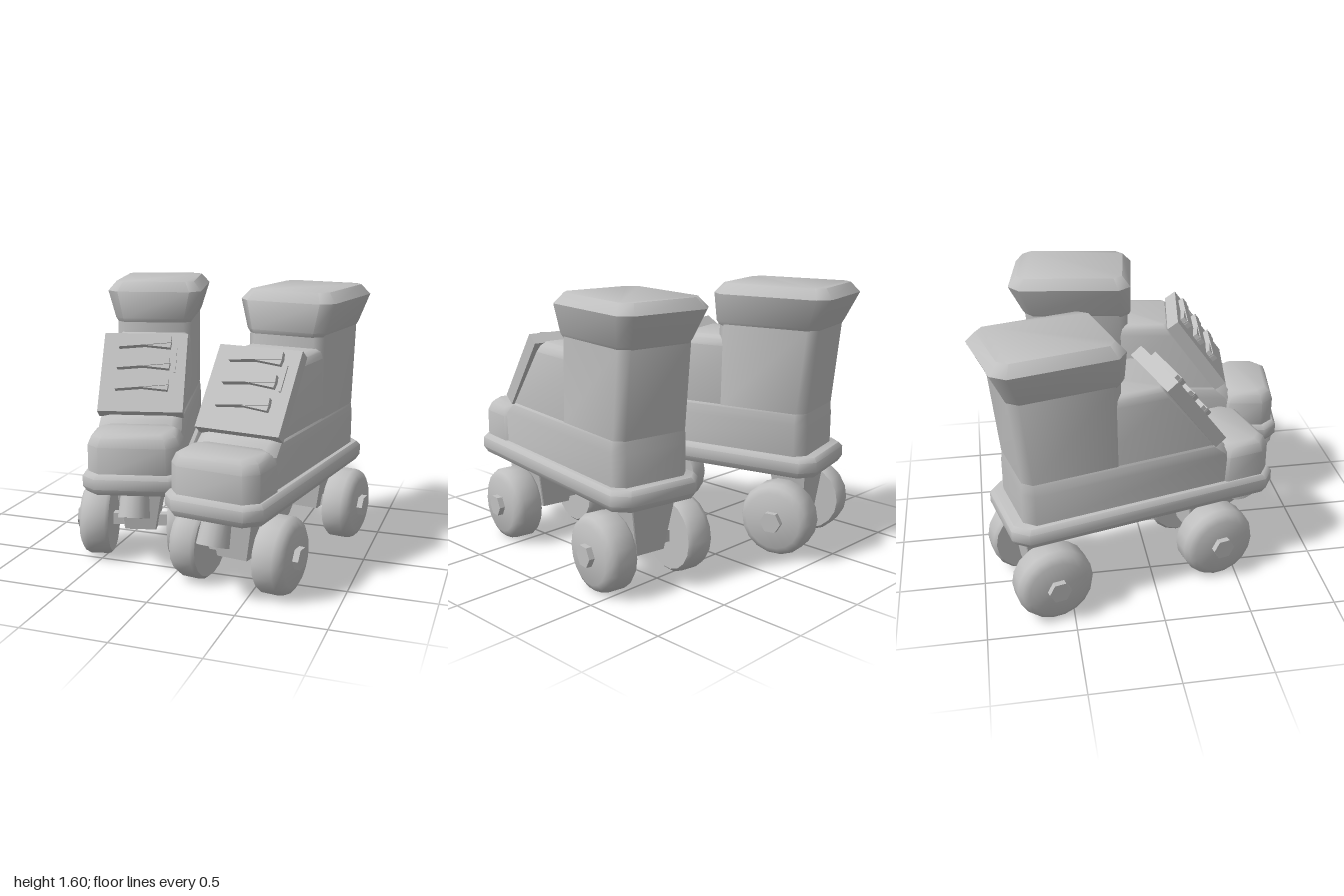
import * as THREE from 'three';
import { toCreasedNormals } from 'three/addons/utils/BufferGeometryUtils.js';

const grey = new THREE.MeshStandardMaterial({ color: 0xc0c0c0 });
grey.name = 'plain grey';

function add(parent, name, geometry, x = 0, y = 0, z = 0) {
  const mesh = new THREE.Mesh(geometry, grey);
  mesh.name = name;
  mesh.position.set(x, y, z);
  parent.add(mesh);
  return mesh;
}

// Stack of rectangles with cut corners: [y, halfWidth, back z, front z, cornerCut]
function loft(sections, crease = 0.85) {
  const pos = [], idx = [], n = 8;
  for (const [y, w, b, f, c] of sections) {
    const ring = [[w, b + c], [w, f - c], [w - c, f], [c - w, f],
      [-w, f - c], [-w, b + c], [c - w, b], [w - c, b]];
    for (const [x, z] of ring) pos.push(x, y, z);
  }
  const last = (sections.length - 1) * n;
  for (let s = 0; s < last; s += n) {
    for (let i = 0; i < n; i++) {
      const a = s + i, d = s + (i + 1) % n;
      idx.push(a, a + n, d, d, a + n, d + n);
    }
  }
  for (let i = 1; i < n - 1; i++) {
    idx.push(0, i, i + 1, last, last + i + 1, last + i);
  }
  const g = new THREE.BufferGeometry();
  g.setAttribute('position', new THREE.Float32BufferAttribute(pos, 3));
  g.setIndex(idx);
  return toCreasedNormals(g, crease);
}

function createWheels(skate, z) {
  const axleY = 0.2225;
  // Tapered block holding the axle
  add(skate, 'truck', loft([[0.18, 0.095, -0.085, 0.085, 0.005], [0.5, 0.15, -0.12, 0.12, 0.005]], 0.3), 0, 0, z);
  add(skate, 'axle', new THREE.BoxGeometry(0.66, 0.07, 0.06), 0, axleY, z);
  const profile = [[0, -0.09], [0.205, -0.09], [0.2225, -0.07], [0.2225, 0.035], [0.205, 0.07], [0.17, 0.09], [0, 0.09]]
    .map(([r, y]) => new THREE.Vector2(r, y));
  const wheelGeometry = toCreasedNormals(new THREE.LatheGeometry(profile, 18), 0.8);
  const nutGeometry = toCreasedNormals(new THREE.CylinderGeometry(0.065, 0.065, 0.06, 6), 0.3);
  for (const side of [-1, 1]) {
    add(skate, 'wheel', wheelGeometry, side * 0.265, axleY, z).rotation.z = -side * Math.PI / 2;
    add(skate, 'wheelNut', nutGeometry, side * 0.36, axleY, z).rotation.z = -side * Math.PI / 2;
  }
}

function createLacePanel(skate) {
  // Sloping panel; its local +z points out of the instep
  const panel = new THREE.Group();
  panel.name = 'lacePanel';
  panel.position.set(0, 1.11, 0.315);
  panel.rotation.x = -0.637;
  skate.add(panel);
  add(panel, 'tonguePlate', new THREE.BoxGeometry(0.51, 0.52, 0.08), 0, 0, -0.04);
  for (let i = 0; i < 3; i++) {
    for (const tilt of [-0.1, 0.1]) {
      add(panel, 'lace', new THREE.BoxGeometry(0.32, 0.045, 0.04), 0, 0.19 - i * 0.14, 0.012 + tilt * 0.03)
        .rotation.z = tilt;
    }
  }
  // Small tab beside the laces
  add(panel, 'laceTab', new THREE.BoxGeometry(0.012, 0.16, 0.02), 0.19, 0.08, 0);
}

function createSkate(name, x, z, degrees) {
  const skate = new THREE.Group();
  skate.name = name;
  skate.position.set(x, 0, z);
  skate.rotation.y = THREE.MathUtils.degToRad(degrees);

  add(skate, 'sole', loft([
    [0.485, 0.275, -0.79, 0.79, 0.075], [0.52, 0.295, -0.81, 0.81, 0.08],
    [0.58, 0.295, -0.81, 0.81, 0.08], [0.605, 0.275, -0.79, 0.79, 0.075]]));
  add(skate, 'lowerBoot', loft([
    [0.59, 0.25, -0.735, 0.6, 0.06], [0.79, 0.25, -0.735, 0.535, 0.06],
    [0.85, 0.245, -0.73, 0.46, 0.055], [0.875, 0.235, -0.73, 0.42, 0.05]]));
  add(skate, 'toeCap', loft([
    [0.59, 0.265, 0.42, 0.78, 0.07], [0.76, 0.265, 0.43, 0.78, 0.07],
    [0.81, 0.245, 0.455, 0.76, 0.065], [0.83, 0.215, 0.48, 0.73, 0.055]]));
  add(skate, 'instep', loft([
    [0.84, 0.24, -0.4, 0.43, 0.02], [1.22, 0.235, -0.4, 0.135, 0.02],
    [1.26, 0.225, -0.4, 0.105, 0.02], [1.28, 0.2, -0.4, 0.09, 0.02]]));
  add(skate, 'ankleShaft', loft([
    [0.86, 0.242, -0.73, -0.14, 0.05], [1.36, 0.24, -0.78, -0.15, 0.05]]));
  // Flared collar, straight at the front
  add(skate, 'cuff', loft([
    [1.345, 0.235, -0.775, -0.14, 0.05], [1.37, 0.25, -0.79, -0.13, 0.055],
    [1.54, 0.3, -0.87, -0.13, 0.07], [1.6, 0.25, -0.82, -0.18, 0.05]]));
  createLacePanel(skate);

  // Stopper slanting forward below the toe
  const stopper = toCreasedNormals(new THREE.CylinderGeometry(0.075, 0.093, 0.23, 14), 0.6);
  add(skate, 'toeStop', stopper, 0, 0.44, 0.694).rotation.x = -0.35;

  createWheels(skate, 0.42);
  createWheels(skate, -0.6);
  return skate;
}

export function createModel() {
  const model = new THREE.Group();
  model.name = 'rollerSkates';
  model.add(createSkate('rightSkate', -0.41, -0.09, 14), createSkate('leftSkate', 0.455, 0.165, -9));
  return model;
}
